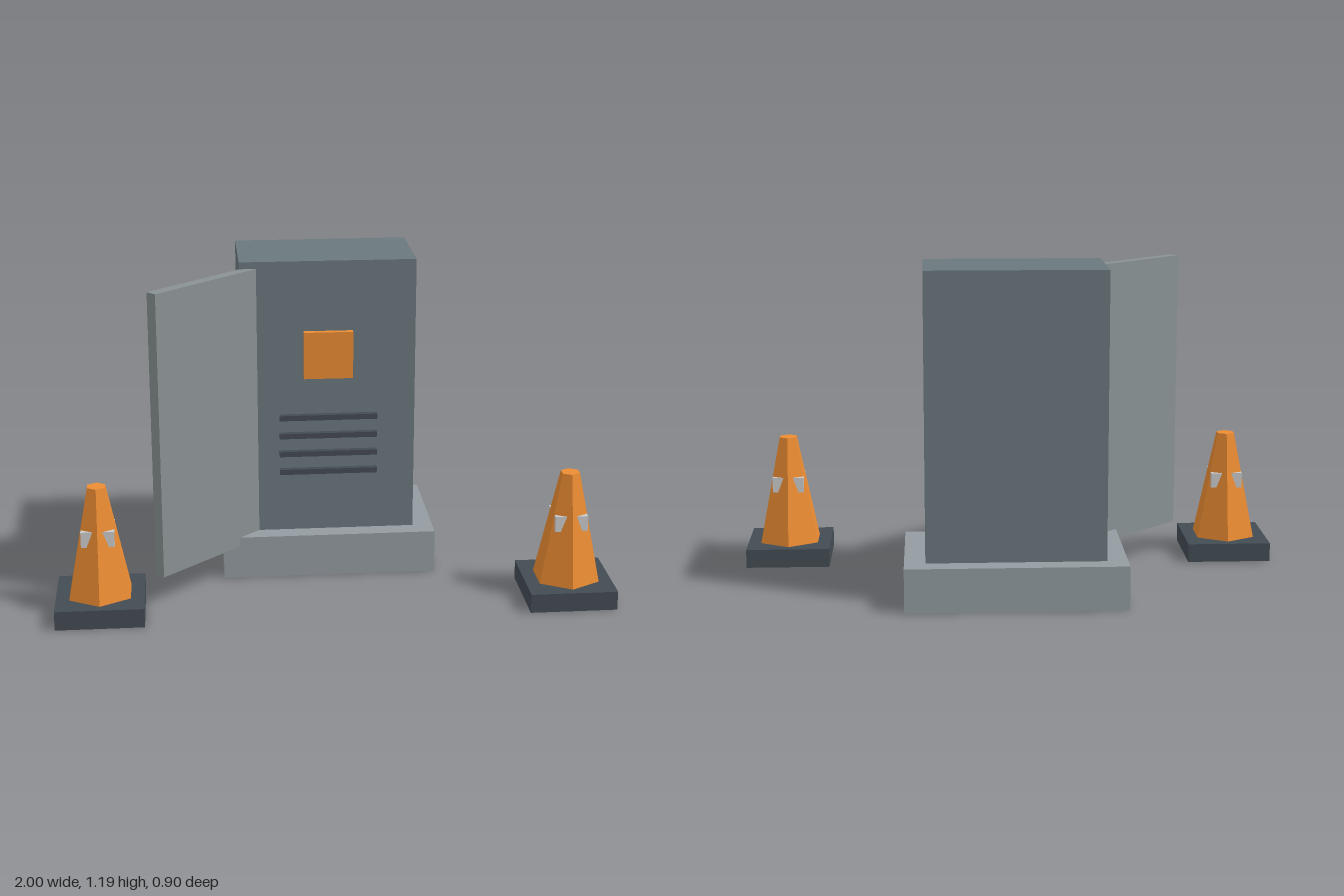
import * as THREE from 'three';

const material = (color) => new THREE.MeshStandardMaterial({ color, flatShading: true });

const cabinetMat = material(0x6a787e);
const doorMat = material(0x899193);
const plinthMat = material(0x939ca1);
const darkMat = material(0x434c54);
const orangeMat = material(0xec8c33);
const bandMat = material(0xdcdedc);

function add(parent, name, geometry, mat, x, y, z) {
  const mesh = new THREE.Mesh(geometry, mat);
  mesh.name = name;
  mesh.position.set(x, y, z);
  parent.add(mesh);
  return mesh;
}

// Box given by its minimum and maximum corners
function addBox(parent, name, mat, [x0, y0, z0], [x1, y1, z1]) {
  const geometry = new THREE.BoxGeometry(x1 - x0, y1 - y0, z1 - z0);
  return add(parent, name, geometry, mat, (x0 + x1) / 2, (y0 + y1) / 2, (z0 + z1) / 2);
}

// Six-sided traffic cone; the corners of the square band poke through its faces
function makeCone(name, x, z) {
  const cone = new THREE.Group();
  cone.name = name;
  add(cone, 'coneFoot', new THREE.BoxGeometry(0.314, 0.07, 0.314), darkMat, 0, 0.035, 0);
  add(cone, 'coneBody', new THREE.CylinderGeometry(0.036, 0.125, 0.405, 6), orangeMat, 0, 0.2725, 0);
  add(cone, 'coneBand', new THREE.BoxGeometry(0.118, 0.057, 0.118), bandMat, 0, 0.2965, 0);
  cone.position.set(x, 0, z);
  return cone;
}

export function createModel() {
  const model = new THREE.Group();
  model.name = 'utilityCabinet';

  // Plinth and cabinet body
  addBox(model, 'plinth', plinthMat, [-0.395, 0, -0.45], [0.395, 0.16, 0.045]);
  addBox(model, 'cabinetBody', cabinetMat, [-0.32, 0.16, -0.38], [0.32, 1.19, -0.025]);

  // Warning plate and ventilation slots on the front
  addBox(model, 'warningPlate', orangeMat, [-0.09, 0.755, -0.027], [0.09, 0.93, -0.002]);
  for (let i = 0; i < 4; i++) {
    const y = 0.395 + i * 0.07;
    addBox(model, 'ventSlot', darkMat, [-0.18, y - 0.01, -0.027], [0.18, y + 0.01, -0.003]);
  }

  // Door standing open, its hinge end sunk into the body
  const door = add(model, 'openDoor', new THREE.BoxGeometry(0.52, 1.04, 0.042), doorMat, -0.44, 0.645, 0.115);
  door.rotation.y = 0.75;

  // Traffic cones on both sides
  model.add(makeCone('leftCone', 0.843, 0.293), makeCone('rightCone', -0.843, 0.293));

  return model;
}
